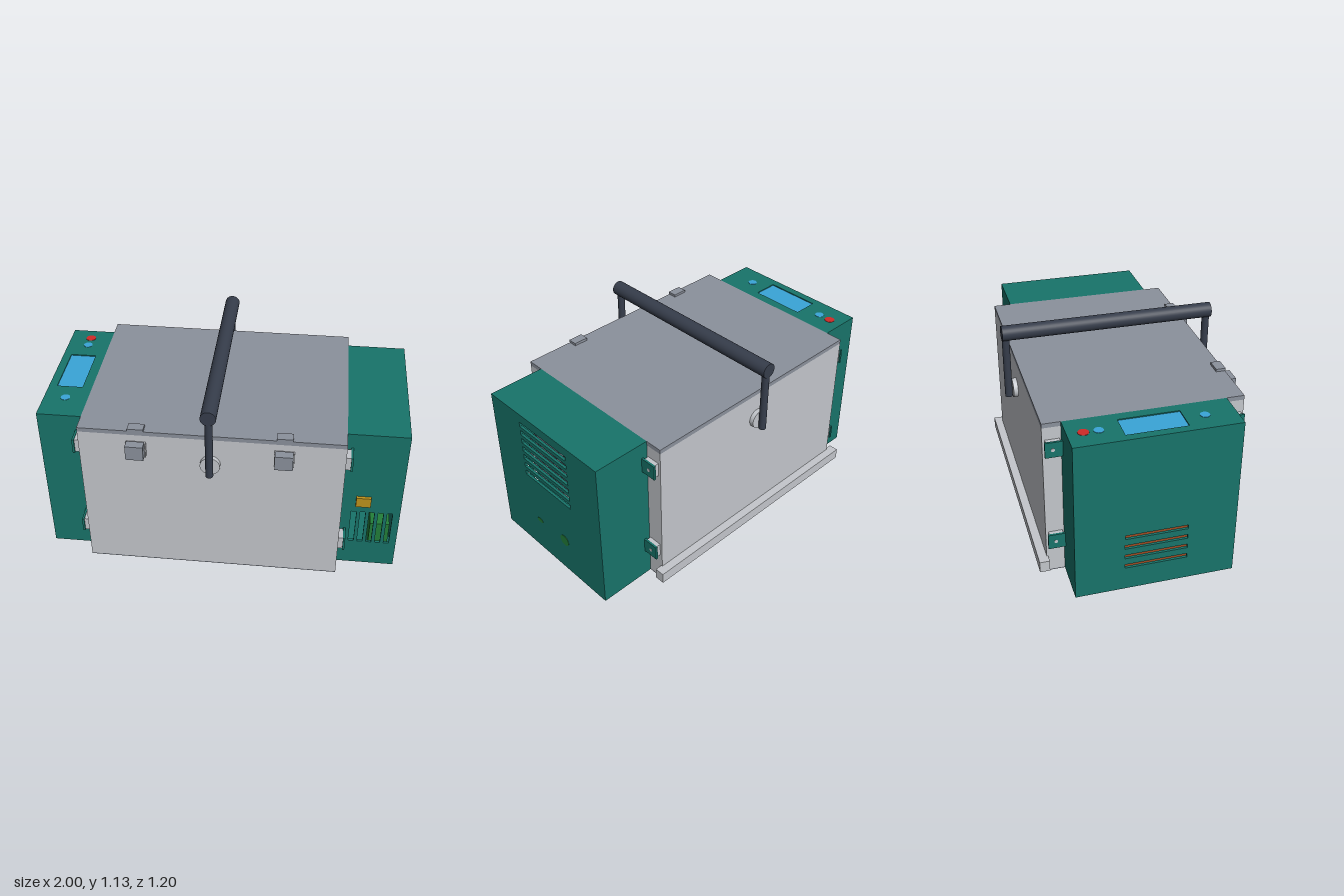
import * as THREE from 'three';

const mat = (color, side = THREE.FrontSide) => new THREE.MeshStandardMaterial({ color, side });
const M = {
  light: mat(0xc4c7cc), lid: mat(0x8b919c), green: mat(0x18746a), dark: mat(0x363d4b),
  fan: mat(0x565c66), red: mat(0xd02a28), blue: mat(0x3aa5d8), yellow: mat(0xc0941c),
  lamp: mat(0x23803a), copper: mat(0x9a4a22),
};

export function createModel() {
  const root = new THREE.Group();
  const add = (name, geo, m, x, y, z, parent = root) => {
    const mesh = new THREE.Mesh(geo, m);
    mesh.name = name;
    mesh.position.set(x, y, z);
    parent.add(mesh);
    return mesh;
  };
  // box given by its limits on each axis
  const box = (name, m, [x0, x1], [y0, y1], [z0, z1], parent = root) =>
    add(name, new THREE.BoxGeometry(x1 - x0, y1 - y0, z1 - z0), m,
      (x0 + x1) / 2, (y0 + y1) / 2, (z0 + z1) / 2, parent);
  // disc or rod along the chosen axis
  const rod = (name, m, r, len, axis, x, y, z, parent = root) => {
    const mesh = add(name, new THREE.CylinderGeometry(r, r, len, 32), m, x, y, z, parent);
    if (axis === 'x') mesh.rotation.z = Math.PI / 2;
    if (axis === 'z') mesh.rotation.x = Math.PI / 2;
    return mesh;
  };
  // flat panel with rectangular openings [cx, cy, w, h]
  const T = 0.015;
  const panel = (x0, x1, y0, y1, holes) => {
    const rect = (P, a, b, c, d) => new P([[a, c], [b, c], [b, d], [a, d]].map(p => new THREE.Vector2(...p)));
    const s = rect(THREE.Shape, x0, x1, y0, y1);
    for (const [cx, cy, w, h] of holes)
      s.holes.push(rect(THREE.Path, cx - w / 2, cx + w / 2, cy - h / 2, cy + h / 2));
    return new THREE.ExtrudeGeometry(s, { depth: T, bevelEnabled: false });
  };

  const XL = -0.755, XR = 0.67, H = 0.93, D = 0.435, B = 0.533;

  // insulated chest
  box('chestBody', M.light, [XL, XR], [0.006, 0.905], [-B, B]);
  box('chestBase', M.lid, [XL, XR], [0, 0.006], [-B, B]);
  box('chestLid', M.lid, [XL, XR], [0.905, H], [-B, B]);
  box('rearRail', M.light, [-0.8, 0.71], [0.035, 0.1], [-0.58, -0.525]);

  // hollow end housings: end, front and top panels may have openings
  const housing = (name, x0, x1, endHoles, frontHoles, topHoles) => {
    const g = new THREE.Group();
    g.name = name;
    root.add(g);
    const side = x1 > 0 ? 1 : -1;
    const outer = side > 0 ? x1 : x0;
    const end = add('endPanel', panel(-D, D, 0, H, endHoles), M.green, outer - side * T, 0, 0, g);
    end.rotation.y = side * Math.PI / 2;
    const a = side > 0 ? x0 : x0 + T, b = side > 0 ? x1 - T : x1;
    add('frontPanel', panel(a, b, 0, H - T, frontHoles), M.green, 0, 0, D - T, g);
    add('topPanel', panel(a, b, -D, D, topHoles), M.green, 0, H - T, 0, g).rotation.x = -Math.PI / 2;
    box('backPanel', M.green, [a, b], [0, H - T], [-D, -D + T], g);
    box('floorPanel', M.green, [a, b], [0, T], [-D + T, D - T], g);
    return g;
  };

  // machinery housing with fan grille and side louvres
  const fanSlots = [], louvres = [];
  for (let i = 0; i < 7; i++) fanSlots.push([0, 0.53 + i * 0.055, 0.385, 0.03]);
  for (let i = 0; i < 5; i++) louvres.push([0.745 + i * 0.05, 0.278, 0.03, 0.225]);
  const machine = housing('machineHousing', XR, 1, fanSlots, louvres, []);

  const fan = new THREE.Group();
  fan.name = 'fan';
  fan.position.set(0.94, 0.69, 0);
  machine.add(fan);
  box('fanBack', M.fan, [-0.05, -0.03], [-0.2, 0.2], [-0.2, 0.2], fan);
  for (const r of [0.17, 0.11, 0.05])
    add('fanRing', new THREE.TorusGeometry(r, 0.007, 8, 40), M.fan, 0.025, 0, 0, fan).rotation.y = Math.PI / 2;
  rod('fanHub', M.fan, 0.045, 0.05, 'x', 0, 0, 0, fan);
  for (let i = 0; i < 7; i++) {
    const arm = new THREE.Group();
    arm.rotation.x = i * Math.PI * 2 / 7;
    fan.add(arm);
    add('fanBlade', new THREE.BoxGeometry(0.008, 0.12, 0.07), M.fan, 0, 0.1, 0, arm).rotation.y = 0.45;
  }
  box('circuitBoard', M.lamp, [0.85, 0.96], [0.03, 0.24], [0.1, 0.36], machine);
  box('powerSwitch', M.yellow, [0.75, 0.832], [0.442, 0.505], [D - 0.005, 0.453], machine);
  rod('largeLamp', M.lamp, 0.035, 0.01, 'x', 0.997, 0.222, -0.108, machine);
  rod('smallLamp', M.lamp, 0.024, 0.01, 'x', 0.997, 0.222, 0.11, machine).scale.x = 0.6;

  // control housing with display, buttons and a low vent
  const lowSlots = [];
  for (let i = 0; i < 4; i++) lowSlots.push([0, 0.15 + i * 0.063, 0.34, 0.024]);
  const control = housing('controlHousing', -1, XL, lowSlots, [], [[-0.882, 0, 0.145, 0.325]]);
  box('display', M.blue, [-0.96, -0.805], [0.91, 0.924], [-0.168, 0.168], control);
  rod('redButton', M.red, 0.029, 0.012, 'y', -0.88, H - 0.004, -0.352, control);
  for (const z of [-0.275, 0.27]) rod('blueButton', M.blue, 0.026, 0.012, 'y', -0.88, H - 0.004, z, control);
  box('ventCore', M.copper, [-0.96, -0.94], [0.1, 0.4], [-0.2, 0.2], control);

  // mounting brackets on both ends
  for (const s of [-1, 1])
    for (const y of [0.795, 0.22])
      for (const f of [-1, 1]) {
        const face = s > 0 ? XR : XL;
        const g = new THREE.Group();
        g.name = 'mountingBracket';
        g.position.set(face, y, f * 0.481);
        root.add(g);
        add('spacer', new THREE.BoxGeometry(0.026, 0.08, 0.075), M.light, s * 0.013, 0, 0, g);
        add('tab', new THREE.BoxGeometry(0.012, 0.088, 0.092), M.green, s * 0.032, 0, 0, g);
        rod('bolt', M.light, 0.01, 0.004, 'x', s * 0.038, 0, f * 0.005, g);
      }

  // lid latches
  for (const x of [-0.44, 0.347]) {
    const g = new THREE.Group();
    g.name = 'latch';
    g.position.x = x;
    root.add(g);
    box('latchPlate', M.light, [-0.053, 0.053], [0.78, 0.865], [B, 0.56], g);
    box('latchLever', M.lid, [-0.048, 0.048], [0.79, 0.876], [0.55, 0.6], g);
    box('latchHook', M.lid, [-0.043, 0.043], [H, 0.945], [0.483, 0.537], g);
  }

  // carrying handle
  const handle = new THREE.Group();
  handle.name = 'carryingHandle';
  handle.position.x = -0.045;
  root.add(handle);
  rod('grip', M.dark, 0.042, 1.2, 'z', 0, 1.09, 0, handle);
  for (const s of [-1, 1]) {
    rod('handleArm', M.dark, 0.021, 0.37, 'y', 0, 0.885, s * 0.579, handle);
    rod('handlePivot', M.light, 0.054, 0.026, 'z', 0, 0.747, s * 0.545, handle);
  }
  return root;
}
